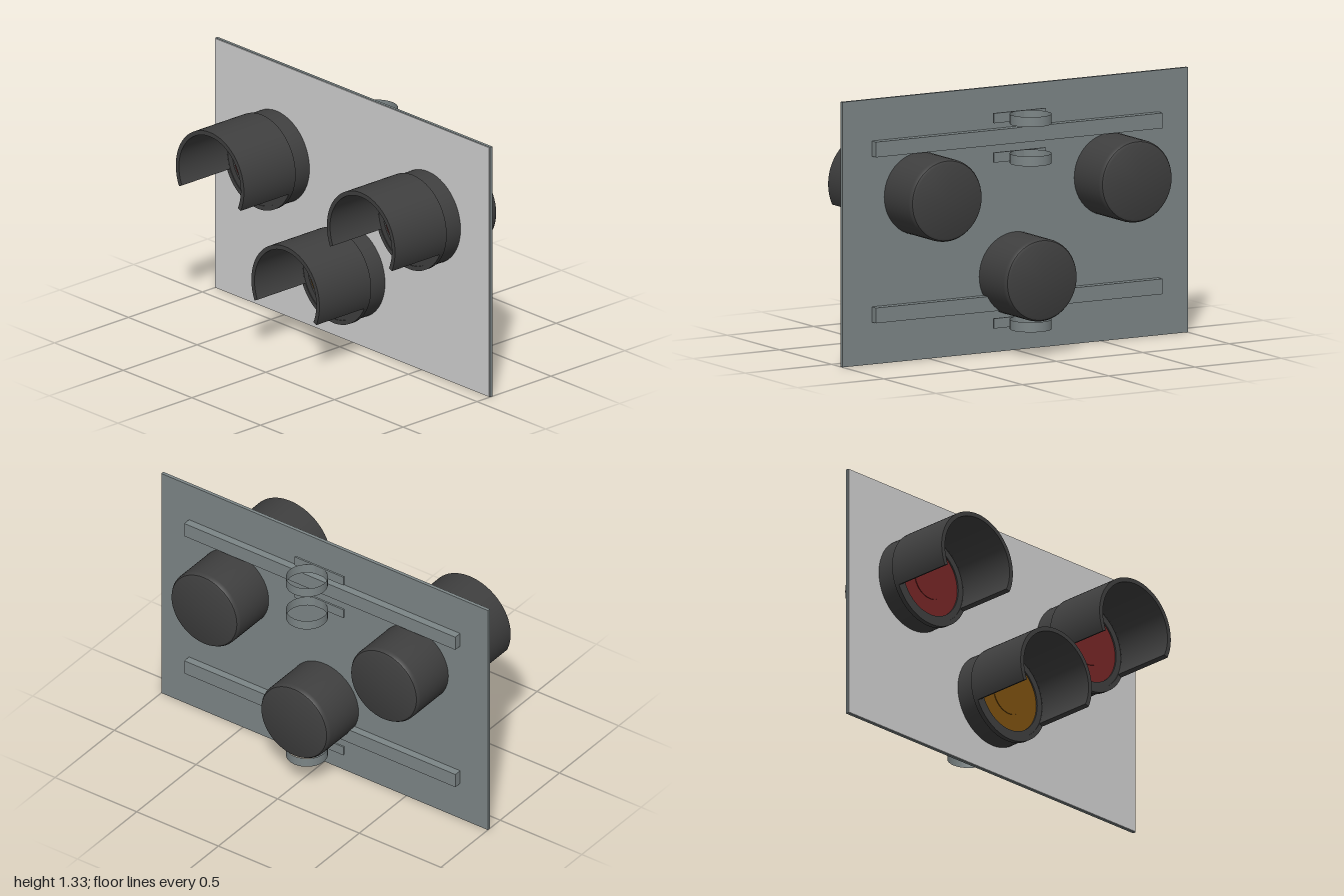
import * as THREE from 'three';
import { toCreasedNormals } from 'three/addons/utils/BufferGeometryUtils.js';

const mat = (name, color, extra = {}) => {
  const m = new THREE.MeshStandardMaterial({ color, ...extra });
  m.name = name;
  return m;
};

export function createModel() {
  const panelGrey = mat('panel light grey', 0xd2d2d2);
  const metal = mat('metal grey', 0x7c8586);
  const bandMetal = mat('band metal grey', 0x7c8586, { side: THREE.DoubleSide });
  const black = mat('housing black', 0x3f3f3f);
  const red = mat('red lens', 0x782626);
  const amber = mat('amber lens', 0x7e5210);

  const model = new THREE.Group();
  model.name = 'warningLightBoard';

  const add = (parent, name, geometry, material, x = 0, y = 0, z = 0) => {
    const mesh = new THREE.Mesh(geometry, material);
    mesh.name = name;
    mesh.position.set(x, y, z);
    parent.add(mesh);
    return mesh;
  };
  const box = (name, w, h, d, material, x, y, z) =>
    add(model, name, new THREE.BoxGeometry(w, h, d), material, x, y, z);

  // Turned part: profile of [radius, z], spun about the z axis (from low z to high z)
  const turned = (profile) => {
    const g = new THREE.LatheGeometry(profile.map(([r, z]) => new THREE.Vector2(r, z)), 48);
    g.rotateX(Math.PI / 2);
    return toCreasedNormals(g, 0.6);
  };

  // Backing plate with a pale front sheet
  const H = 1.333;
  box('backPlate', 2, H, 0.016, metal, 0, H / 2, -0.096);
  box('frontSheet', 1.996, H - 0.004, 0.004, panelGrey, 0, H / 2, -0.086);

  // Hood: open arc, extruded forwards
  const droop = 0.437;
  const hoodShape = new THREE.Shape();
  hoodShape.absarc(0, 0, 0.248, -droop, Math.PI + droop, false);
  hoodShape.absarc(0, 0, 0.225, Math.PI + droop, -droop, true);
  const hoodGeometry = toCreasedNormals(
    new THREE.ExtrudeGeometry(hoodShape, { depth: 0.327, bevelEnabled: false, curveSegments: 36 }), 0.6);

  const rearGeometry = turned([[0, -0.367], [0.188, -0.367], [0.2, -0.362], [0.207, -0.35], [0.208, -0.338], [0.208, -0.1]]);
  const collarGeometry = turned([[0.24, -0.09], [0.24, 0.017]]);
  const rimGeometry = turned([[0.238, 0.017], [0.248, 0.017], [0.248, 0.042], [0.225, 0.042],
    [0.225, 0.038], [0.193, 0.038], [0.193, 0.026]]);
  const lensGeometry = turned([[0.194, 0.03], [0.104, 0.03], [0.104, 0.034], [0, 0.034]]);

  // Three signal lamps
  const lamps = [['rightLamp', -0.55, 0.835, red], ['leftLamp', 0.55, 0.835, red], ['lowerLamp', 0, 0.386, amber]];
  for (const [name, x, y, lensMaterial] of lamps) {
    const lamp = new THREE.Group();
    lamp.name = name;
    lamp.position.set(x, y, 0);
    add(lamp, 'rearHousing', rearGeometry, black);
    add(lamp, 'collar', collarGeometry, black);
    add(lamp, 'rim', rimGeometry, black);
    add(lamp, 'lens', lensGeometry, lensMaterial);
    add(lamp, 'hood', hoodGeometry, black, 0, 0, 0.04);
    model.add(lamp);
  }

  // Rear mounting rails, each with a pole clamp above and below
  const bandGeometry = new THREE.CylinderGeometry(0.104, 0.104, 0.05, 32, 1, true);
  for (const railY of [1.085, 0.251]) {
    box('rail', 1.66, 0.077, 0.041, metal, 0, railY, -0.124);
    for (const side of [1, -1]) {
      const y = railY + side * 0.099;
      box('clampFlange', 0.3, 0.05, 0.01, metal, 0, y, -0.147);
      add(model, 'clampBand', bandGeometry, bandMetal, 0, y, -0.253);
    }
  }
  return model;
}
